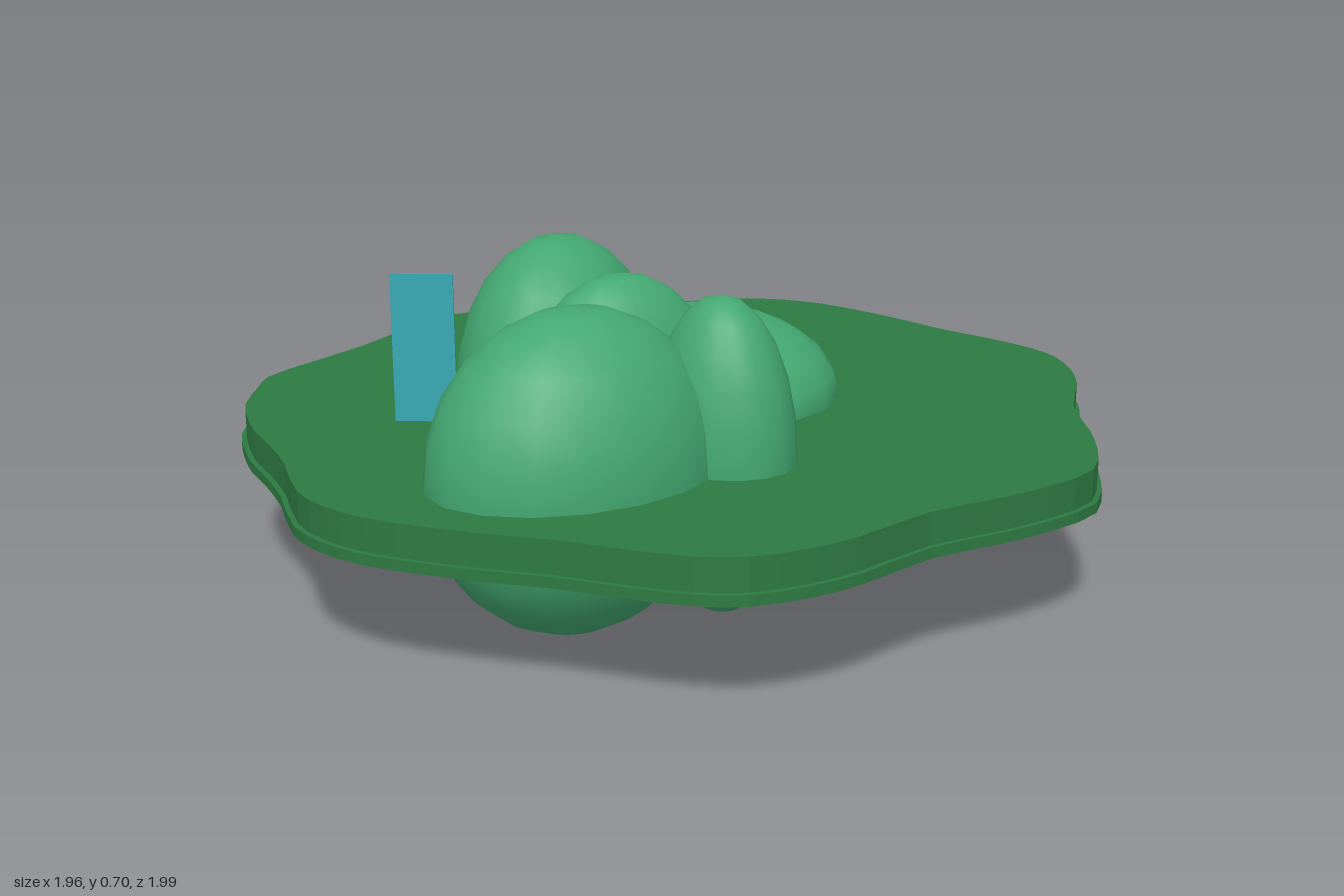
import * as THREE from 'three';

const mat = (name, color, side = THREE.FrontSide) => {
  const m = new THREE.MeshStandardMaterial({ color, side });
  m.name = name;
  return m;
};

// Half of the wavy outline (x, depth), mirrored to close the loop
const HALF = [
  [0.98, 0], [0.94, 0.14], [0.88, 0.26], [0.79, 0.41], [0.73, 0.6], [0.68, 0.7], [0.6, 0.8],
  [0.51, 0.85], [0.4, 0.88], [0.24, 0.91], [0.14, 0.94], [0, 0.975], [-0.15, 0.997],
  [-0.26, 0.985], [-0.36, 0.945], [-0.5, 0.825], [-0.605, 0.75], [-0.71, 0.685],
  [-0.79, 0.62], [-0.87, 0.54], [-0.94, 0.42], [-0.98, 0.34], [-0.978, 0.18], [-0.968, 0],
];

function wavySlab(scale, y0, y1) {
  const mirrored = HALF.slice(1, -1).reverse().map(([x, d]) => [x, -d]);
  const loop = [...HALF, ...mirrored].map(([x, d]) => new THREE.Vector3(x * scale, d * scale, 0));
  const pts = new THREE.CatmullRomCurve3(loop, true).getPoints(92).slice(0, -1);
  const shape = new THREE.Shape(pts.map((p) => new THREE.Vector2(p.x, p.y)));
  const geo = new THREE.ExtrudeGeometry(shape, { depth: y1 - y0, bevelEnabled: false });
  return geo.rotateX(-Math.PI / 2).translate(0, y0, 0);
}

export function createModel() {
  const model = new THREE.Group();
  const leafGreen = mat('leaf green', 0x2e7a42);
  const moundGreen = mat('mound green', 0x43a871);
  const waterBlue = mat('water blue', 0x38a9b4, THREE.DoubleSide);

  const add = (name, geo, material) => {
    const mesh = new THREE.Mesh(geo, material);
    mesh.name = name;
    model.add(mesh);
    return mesh;
  };

  // Island base: thin wider rim below, thicker slab above
  add('baseRim', wavySlab(1, 0.262, 0.285), leafGreen);
  add('baseSlab', wavySlab(0.988, 0.285, 0.355), leafGreen);

  // Mounds: centre x, y, z, half sizes x, y, z, turn in degrees
  const mounds = [
    ['leftMound', -0.345, 0.358, 0.015, 0.23, 0.352, 0.297, 10],
    ['backMound', -0.03, 0.358, -0.1, 0.335, 0.193, 0.312, 0],
    ['middleMound', -0.07, 0.356, 0.18, 0.155, 0.328, 0.25, -32],
    ['frontMound', 0.055, 0.357, 0.55, 0.247, 0.346, 0.33, -25],
    ['rightMound', 0.265, 0.357, 0.315, 0.17, 0.348, 0.147, -10],
  ];
  for (const [name, x, y, z, rx, ry, rz, turn] of mounds) {
    const mound = add(name, new THREE.SphereGeometry(1, 18, 12), moundGreen);
    mound.position.set(x, y, z);
    mound.scale.set(rx, ry, rz);
    mound.rotation.y = THREE.MathUtils.degToRad(turn);
  }

  // Thin upright waterfall sheet
  const sheet = add('waterfall', new THREE.BoxGeometry(0.138, 0.335, 0.006), waterBlue);
  sheet.position.set(-0.42, 0.524, 0.43);
  sheet.rotation.y = Math.atan2(0.065, 0.12);

  return model;
}
